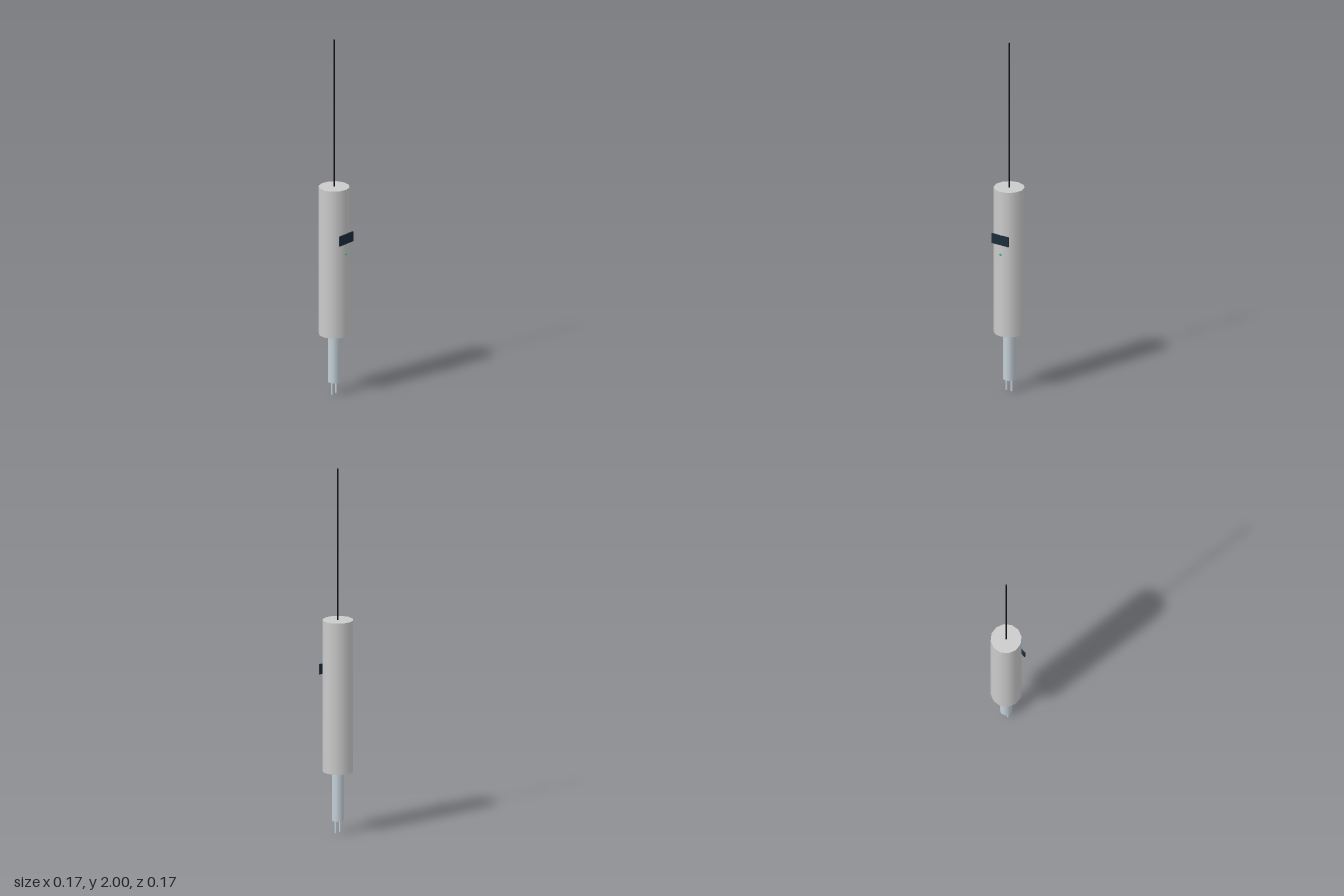
import * as THREE from 'three';

const AXIS_Z = -0.003; // body axis sits slightly behind centre

export function createModel() {
  const model = new THREE.Group();
  const steel = new THREE.MeshStandardMaterial({ color: 0xc4d0d8 });
  const grey = new THREE.MeshStandardMaterial({ color: 0xcccccc });
  const black = new THREE.MeshStandardMaterial({ color: 0x111214 });
  const navy = new THREE.MeshStandardMaterial({ color: 0x1c2b3c });
  const green = new THREE.MeshStandardMaterial({ color: 0x2fbf8a });

  const add = (name, geometry, material, x, y, z) => {
    const mesh = new THREE.Mesh(geometry, material);
    mesh.name = name;
    mesh.position.set(x, y, z);
    model.add(mesh);
  };
  // Upright rod between two heights
  const rod = (name, radius, y0, y1, sides, material, x = 0) =>
    add(name, new THREE.CylinderGeometry(radius, radius, y1 - y0, sides),
      material, x, (y0 + y1) / 2, AXIS_Z);

  // Handle, neck and cable share one axis
  rod('body', 0.083, 0.338, 1.17, 12, grey);
  rod('neck', 0.033, 0.067, 0.338, 12, steel);
  rod('cable', 0.005, 1.17, 2, 4, black);

  // Pair of prongs at the tip
  for (const side of [-1, 1]) {
    rod(side > 0 ? 'leftProng' : 'rightProng', 0.006, 0, 0.067, 8, steel, side * 0.0167);
  }

  // Display plate and indicator light on the front
  add('display', new THREE.BoxGeometry(0.11, 0.055, 0.007), navy, 0, 0.893, 0.0805);
  add('indicatorLight', new THREE.SphereGeometry(0.007, 10, 8), green, 0, 0.81, 0.079);

  return model;
}
